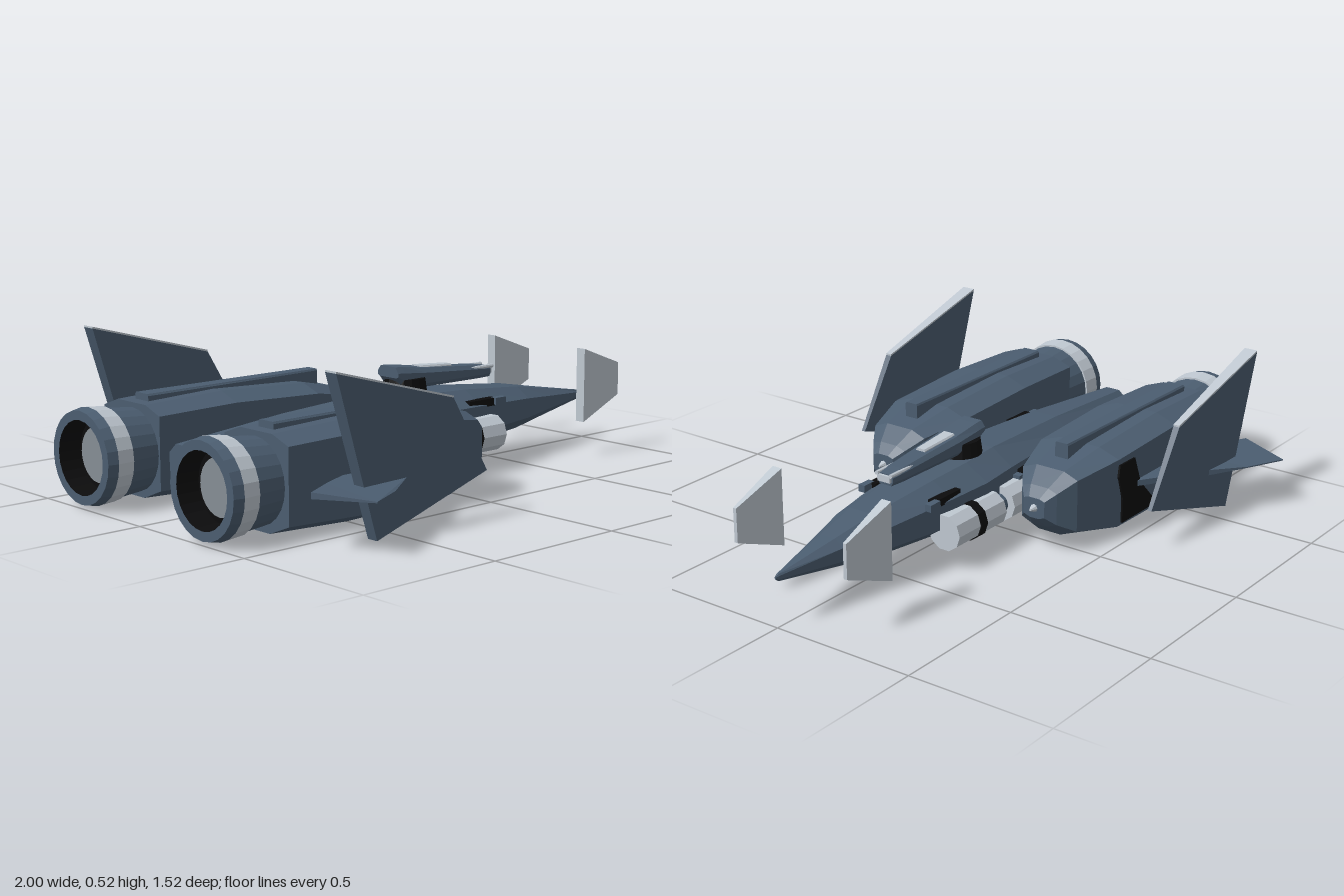
import * as THREE from 'three';

const mat = (name, color) => {
  const m = new THREE.MeshStandardMaterial({ color, flatShading: true });
  m.name = name;
  return m;
};

export function createModel() {
  const model = new THREE.Group();
  const hull = mat('slate blue hull', 0x4b5d70);
  const light = mat('light grey metal', 0xbfc8d1);
  const black = mat('black', 0x0c0c0d);
  const grey = mat('engine grey', 0x858d94);

  const add = (name, geo, material, x = 0, y = 0, z = 0, parent = model) => {
    const m = new THREE.Mesh(geo, material);
    m.name = name;
    m.position.set(x, y, z);
    parent.add(m);
    return m;
  };

  // Skin between cross-sections along x; each ring lists [y, z] from top towards +z
  const loft = (stations) => {
    const pos = [];
    const tri = (...v) => v.forEach((p) => pos.push(...p));
    const rings = stations.map(([x, ring]) => ring.map(([y, z]) => [x, y, z]));
    const n = rings[0].length;
    for (let i = 0; i < rings.length - 1; i++) {
      for (let j = 0; j < n; j++) {
        const k = (j + 1) % n, p = rings[i], q = rings[i + 1];
        tri(p[j], p[k], q[k]);
        tri(p[j], q[k], q[j]);
      }
    }
    const first = rings[0], last = rings[rings.length - 1];
    for (let j = 1; j < n - 1; j++) {
      tri(first[0], first[j + 1], first[j]);
      tri(last[0], last[j], last[j + 1]);
    }
    const g = new THREE.BufferGeometry();
    g.setAttribute('position', new THREE.Float32BufferAttribute(pos, 3));
    g.computeVertexNormals();
    return g;
  };

  // Upright plate in the xy plane with thickness varying along x
  const plate = (pts, thickness) => {
    const shape = new THREE.Shape(pts.map((p) => new THREE.Vector2(...p)));
    const g = new THREE.ExtrudeGeometry(shape, { depth: 1, bevelEnabled: false });
    const p = g.attributes.position;
    for (let i = 0; i < p.count; i++) p.setZ(i, (p.getZ(i) - 0.5) * thickness(p.getX(i)));
    g.computeVertexNormals();
    return g;
  };

  // Cylinder or tube lying along x; r1 is the radius at the front end
  const barrel = (r1, r0, len, sides, open = false) =>
    new THREE.CylinderGeometry(r1, r0, len, sides, 1, open).rotateZ(-Math.PI / 2);

  // Box-like section with bevelled shoulders
  const section = (w, top, bottom, topW, upper, lower, botW) => [
    [top, topW * w], [upper, w], [lower, w], [bottom, botW * w],
    [bottom, -botW * w], [lower, -w], [upper, -w], [top, -topW * w],
  ];

  // Fuselage
  const body = [
    [-0.84, 0.06, 0.235, 0.11], [-0.4, 0.104, 0.27, 0.08], [0, 0.145, 0.287, 0.07],
    [0.15, 0.155, 0.282, 0.07], [0.32, 0.142, 0.275, 0.078], [0.6, 0.1, 0.25, 0.1],
    [0.76, 0.061, 0.222, 0.125], [0.99, 0.007, 0.184, 0.16], [1, 0.003, 0.178, 0.168],
  ].map(([x, w, t, b]) => [x, section(w, t, b, 0.45, b + (t - b) * 0.76, b + (t - b) * 0.3, 0.4)]);
  add('fuselage', loft(body), hull);

  // Dorsal turret
  const turret = new THREE.Group();
  turret.name = 'turret';
  model.add(turret);
  add('turretRing', new THREE.CylinderGeometry(0.07, 0.077, 0.05, 16), black, 0.095, 0.312, 0, turret);
  add('turretHousing', loft([
    [0.02, section(0.05, 0.382, 0.345, 0.7, 0.362, 0.35, 0.8)],
    [0.05, section(0.05, 0.38, 0.308, 0.7, 0.36, 0.335, 0.8)],
    [0.16, section(0.05, 0.366, 0.302, 0.7, 0.35, 0.315, 0.8)],
    [0.43, section(0.036, 0.342, 0.298, 0.7, 0.33, 0.31, 0.8)],
    [0.48, section(0.03, 0.335, 0.298, 0.7, 0.325, 0.31, 0.8)],
  ]), hull, 0, 0, 0, turret);
  add('turretSpine', loft([
    [0.15, section(0.024, 0.372, 0.35, 0.8, 0.366, 0.352, 1)],
    [0.3, section(0.018, 0.362, 0.34, 0.8, 0.357, 0.342, 1)],
  ]), light, 0, 0, 0, turret);
  add('turretMuzzle', new THREE.BoxGeometry(0.025, 0.022, 0.05), light, 0.477, 0.321, 0, turret);
  for (const s of [-1, 1]) {
    add('turretBarrel', barrel(0.007, 0.007, 0.18, 8), light, 0.4, 0.335, s * 0.028, turret);
  }

  for (const s of [-1, 1]) {
    const side = new THREE.Group();
    side.name = s > 0 ? 'leftSide' : 'rightSide';
    model.add(side);
    const put = (name, geo, m, x = 0, y = 0, z = 0) => add(name, geo, m, x, y, s * z, side);

    // Engine nacelle with top rail and nose tip
    const nacelle = [
      [-0.8, 0.148, 0.322, 0.02], [-0.5, 0.157, 0.332, 0.008], [-0.15, 0.154, 0.316, 0.015],
      [0.02, 0.107, 0.28, 0.055], [0.08, 0.068, 0.236, 0.1], [0.11, 0.04, 0.205, 0.135],
    ].map(([x, w, t, b]) => [x, section(w, t, b, 0.5, t - (t - b) * 0.09, b + (t - b) * 0.12, 0.4)]);
    put('nacelle', loft(nacelle), hull, 0, 0, 0.312);
    put('nacelleNose', barrel(0.004, 0.017, 0.03, 8), light, 0.117, 0.17, 0.312);
    put('nacelleRail', loft([
      [-0.76, section(0.035, 0.346, 0.3, 0.85, 0.34, 0.31, 1)],
      [-0.045, section(0.025, 0.346, 0.27, 0.85, 0.34, 0.3, 1)],
    ]), hull, 0, 0, 0.311);

    // Exhaust: collar, bright ring, lip, dark bore and inner disc
    put('exhaustCollar', barrel(0.135, 0.146, 0.12, 24, true), hull, -0.85, 0.17, 0.307);
    put('exhaustRing', barrel(0.152, 0.157, 0.06, 24, true), light, -0.935, 0.17, 0.307);
    put('exhaustLip', barrel(0.157, 0.15, 0.035, 24, true), hull, -0.9825, 0.17, 0.307);
    const rim = new THREE.RingGeometry(0.12, 0.15, 24).rotateY(-Math.PI / 2);
    put('exhaustRim', rim, hull, -1, 0.17, 0.307);
    const step = new THREE.RingGeometry(0.13, 0.152, 24).rotateY(Math.PI / 2);
    put('exhaustStep', step, light, -0.905, 0.17, 0.307);
    const bore = barrel(0.115, 0.12, 0.08, 24, true);
    bore.index.array.reverse();
    put('exhaustBore', bore, black, -0.96, 0.17, 0.307);
    const disc = new THREE.CircleGeometry(0.118, 24).rotateY(-Math.PI / 2);
    put('exhaustDisc', disc, black, -0.922, 0.17, 0.307);
    put('exhaustCore', barrel(0.09, 0.09, 0.01, 24), grey, -0.93, 0.17, 0.307);

    // Black panel on the nacelle flank
    put('flankPanel', plate([
      [-0.39, 0.06], [-0.17, 0.06], [-0.17, 0.15], [-0.145, 0.23], [-0.15, 0.27],
      [-0.24, 0.27], [-0.28, 0.17],
    ], () => 0.009), black, 0, 0, 0.468);

    // Vertical fin with light upper edge
    const finT = (x) => 0.014 - (x + 0.13) * 0.054;
    put('verticalFin', plate([[-0.76, 0.524], [-0.6, 0.01], [-0.13, 0.15], [-0.28, 0.395]], finT),
      hull, 0, 0, 0.6);
    put('finEdge', plate([[-0.76, 0.524], [-0.28, 0.395], [-0.28, 0.401], [-0.76, 0.53]], finT),
      light, 0, 0, 0.6);

    // Swept wing carrying the fin
    const outline = [[-0.24, 0.46], [-0.47, 0.61], [-0.6, 0.698], [-0.73, 0.762], [-0.812, 0.572],
      [-0.7, 0.512], [-0.56, 0.45]];
    const wing = new THREE.ExtrudeGeometry(
      new THREE.Shape(outline.map(([x, z]) => new THREE.Vector2(x, s * z))),
      { depth: 0.02, bevelEnabled: false }).rotateX(Math.PI / 2);
    const wp = wing.attributes.position;
    for (let i = 0; i < wp.count; i++) {
      if (Math.abs(wp.getZ(i)) > 0.69) wp.setY(i, -0.01 + (wp.getY(i) + 0.01) * 0.2);
    }
    wing.computeVertexNormals();
    put('wing', wing, hull, 0, 0.182);

    // Forward vane
    put('forwardVane', plate([[0.74, 0.13], [0.935, 0.205], [0.935, 0.32], [0.74, 0.39]],
      (x) => 0.036 - (x - 0.74) * 0.12), light, 0, 0, 0.217);

    // Underslung pods with black band
    put('frontPod', barrel(0.062, 0.062, 0.255, 10), light, 0.247, 0.134, 0.15);
    put('rearPod', barrel(0.062, 0.062, 0.11, 10), light, 0.02, 0.134, 0.15);
    put('podCore', barrel(0.035, 0.035, 0.1, 10), hull, 0.09, 0.134, 0.15);
    put('podBand', barrel(0.066, 0.066, 0.034, 10), black, 0.245, 0.134, 0.15);

    // Bridge from fuselage to nacelle with dark clamps
    put('bridge', new THREE.BoxGeometry(0.55, 0.07, 0.09), hull, -0.285, 0.17, 0.125);
    for (const x of [-0.445, -0.095]) {
      put('bridgeClamp', new THREE.BoxGeometry(0.115, 0.09, 0.08), black, x, 0.17, 0.125);
    }

    // Side gun
    put('gunSlot', new THREE.BoxGeometry(0.13, 0.026, 0.03), black, 0.335, 0.234, 0.122);
    put('gunBarrel', new THREE.BoxGeometry(0.05, 0.024, 0.024), hull, 0.412, 0.236, 0.135);
  }
  return model;
}
